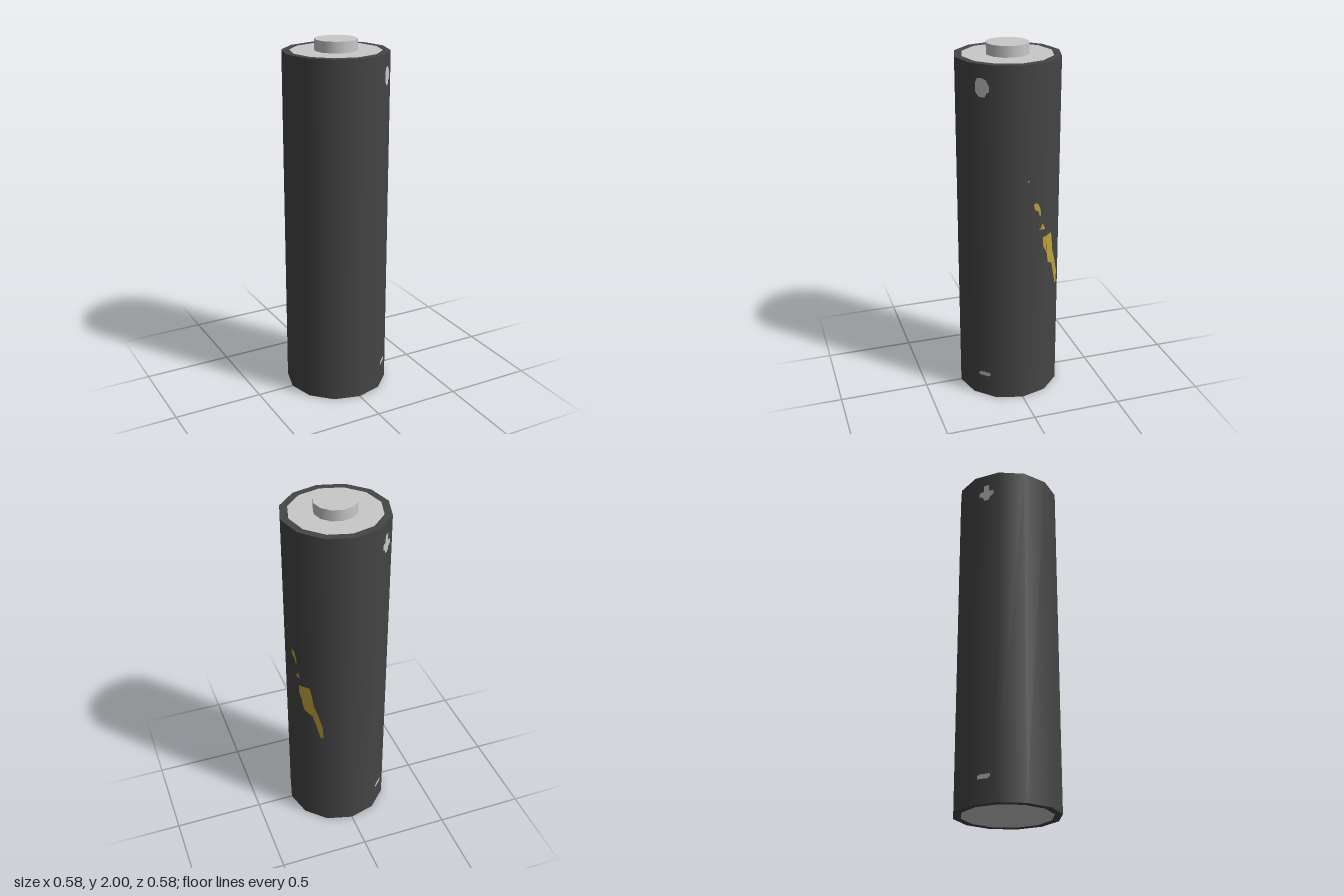
import * as THREE from 'three';

const SIDES = 12, R = 0.288, TOP = 1.94, CAP_R = 0.247;
const APOTHEM = R * Math.cos(Math.PI / SIDES);

export function createModel() {
  const model = new THREE.Group();
  model.name = 'battery';

  const mat = (name, color) => {
    const m = new THREE.MeshStandardMaterial({ color });
    m.name = name;
    return m;
  };
  const dark = mat('dark casing', 0x454545);
  const silver = mat('silver metal', 0xc8c8c8);
  const yellow = mat('yellow print', 0xbea23a);

  const add = (name, geometry, material, y = 0) => {
    const mesh = new THREE.Mesh(geometry, material);
    mesh.name = name;
    mesh.position.y = y;
    model.add(mesh);
    return mesh;
  };

  // Casing wall, smooth shaded around twelve sides
  add('casing', new THREE.CylinderGeometry(R, R, TOP, SIDES, 1, true), dark, TOP / 2);

  // Dark rim and metal plate at each end
  for (const [end, y, turn] of [['top', TOP, -1], ['bottom', 0, 1]]) {
    const face = (g) => g.rotateX(turn * Math.PI / 2);
    add(end + 'Rim', face(new THREE.RingGeometry(CAP_R, R, SIDES)), dark, y);
    add(end + 'Plate', face(new THREE.CircleGeometry(CAP_R, SIDES)), silver, y);
  }

  // Raised contact button
  const buttonHeight = 2 - TOP;
  add('contactButton', new THREE.CylinderGeometry(0.116, 0.116, buttonHeight, SIDES), silver, TOP + buttonHeight / 2);

  // Flat printed patch on one side of the casing: points are [across, height]
  const print = (name, material, degrees, points, y = 0) => {
    const shape = new THREE.Shape(points.map(([u, v]) => new THREE.Vector2(u, v)));
    const g = new THREE.ShapeGeometry(shape);
    g.translate(0, 0, APOTHEM + 0.002);
    g.rotateY(THREE.MathUtils.degToRad(degrees));
    add(name, g, material, y);
  };

  // Worn plus marks near the top, one on each of two opposite sides
  print('frontPlusMark', silver, 45, [
    [-0.018, -0.05], [0.014, -0.05], [0.024, -0.03], [0.04, -0.018], [0.04, 0.012],
    [0.022, 0.04], [-0.005, 0.05], [-0.03, 0.045], [-0.04, 0.02], [-0.04, -0.025],
  ], 1.82);
  print('backPlusMark', silver, 225, [
    [-0.015, -0.05], [0.015, -0.05], [0.022, -0.03], [0.044, -0.018], [0.044, 0.006],
    [0.016, 0.012], [0.016, 0.05], [-0.016, 0.05], [-0.016, 0.012], [-0.044, 0.006],
    [-0.044, -0.018], [-0.022, -0.03],
  ], 1.82);

  // Minus marks near the bottom
  for (const [name, degrees] of [['frontMinusMark', 45], ['backMinusMark', 225]]) {
    print(name, silver, degrees, [
      [-0.036, -0.012], [0.022, -0.012], [0.036, -0.004], [0.036, 0.012], [-0.022, 0.012], [-0.036, 0.004],
    ], 0.139);
  }

  // Worn lightning bolt, folded over the edge between two sides
  print('boltUpper', yellow, 105, [[0.05, 0.93], [0.0745, 0.88], [0.0745, 0.985], [0.05, 0.98]]);
  print('boltLower', yellow, 135, [
    [-0.0745, 0.985], [-0.0745, 0.88], [-0.06, 0.82], [-0.01, 0.79], [0.025, 0.69],
    [0.035, 0.65], [0.054, 0.65], [0.054, 0.72], [0.02, 0.82], [0, 0.86], [-0.015, 0.95], [-0.025, 0.985],
  ]);
  print('boltFleck', yellow, 105, [
    [-0.015, 1.18], [-0.004, 1.15], [0.019, 1.135], [0.024, 1.11], [0.034, 1.11], [0.03, 1.15], [0.016, 1.18], [0, 1.19],
  ]);
  print('boltSpeckLow', yellow, 105, [[0.02, 1.03], [0.062, 1.025], [0.058, 1.037], [0.044, 1.065], [0.036, 1.04]]);
  print('boltSpeckHigh', yellow, 105, [[-0.056, 1.317], [-0.04, 1.317], [-0.048, 1.327]]);

  return model;
}
